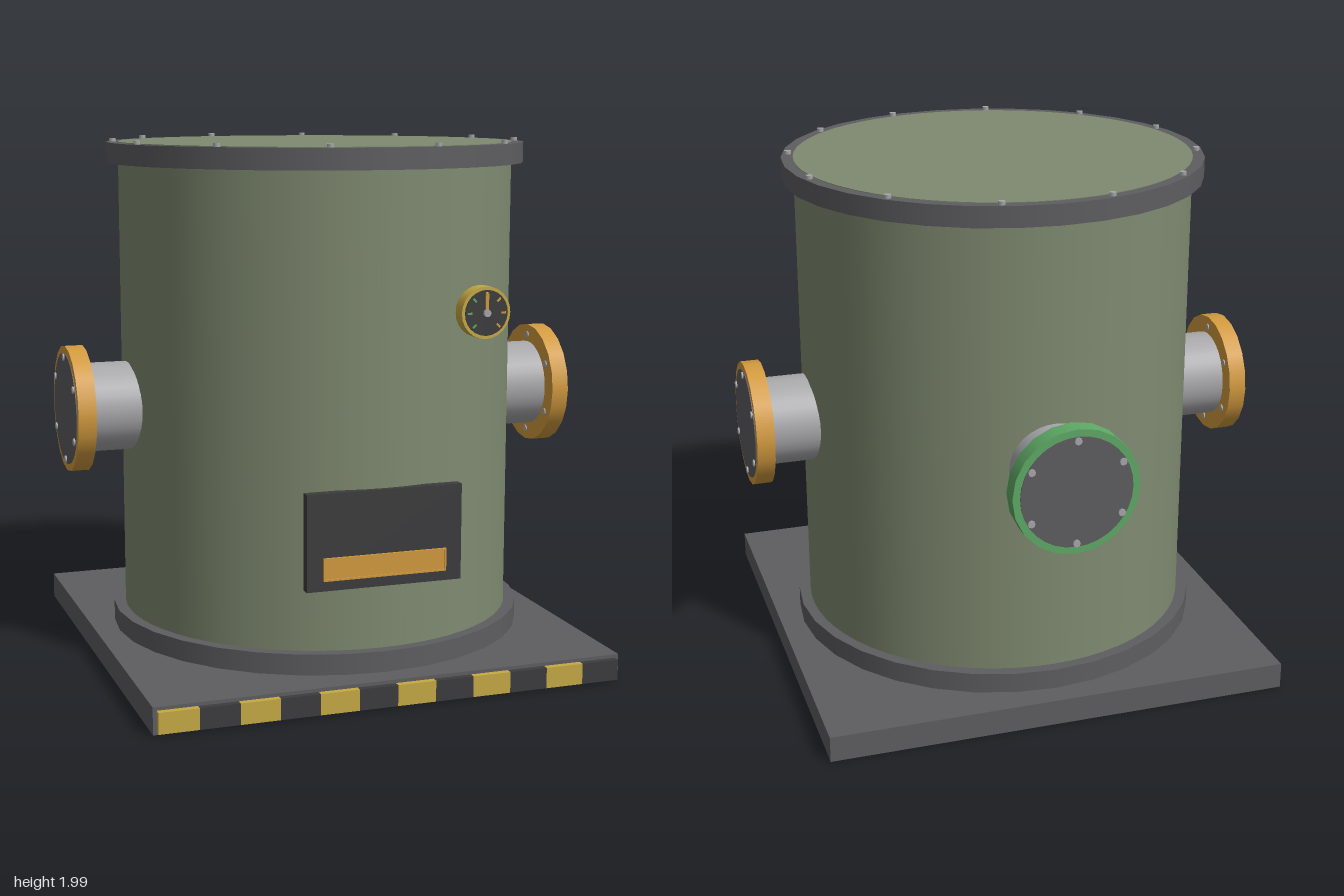
import * as THREE from 'three';

const mat = (name, color) => {
  const m = new THREE.MeshStandardMaterial({ color });
  m.name = name;
  return m;
};

export function createModel() {
  const sage = mat('sage green paint', 0x7f8a70);
  const iron = mat('iron grey', 0x5e5e61);
  const dark = mat('charcoal', 0x3c3c3e);
  const orange = mat('orange paint', 0xd29a3e);
  const yellow = mat('warning yellow', 0xc6aa45);
  const steel = mat('light steel', 0xa8a8ab);
  const green = mat('port green', 0x5fa966);

  const model = new THREE.Group();
  model.name = 'storageTank';
  const CZ = 0.04; // tank axis

  const add = (parent, name, geo, material, x = 0, y = 0, z = 0) => {
    const mesh = new THREE.Mesh(geo, material);
    mesh.name = name;
    mesh.position.set(x, y, z);
    parent.add(mesh);
    return mesh;
  };
  const box = (w, h, d) => new THREE.BoxGeometry(w, h, d);
  const cyl = (r, h, n) => new THREE.CylinderGeometry(r, r, h, n);
  const cylX = (r, h, n) => cyl(r, h, n).rotateZ(-Math.PI / 2);
  const cylZ = (r, h, n) => cyl(r, h, n).rotateX(Math.PI / 2);

  // Base plate with hazard stripes along its front edge
  add(model, 'basePlate', box(1.78, 0.1, 1.78), iron, 0, 0.05, CZ);
  for (let i = 0; i < 12; i++) {
    add(model, 'hazardStripe', box(0.146, 0.078, 0.024), i % 2 ? dark : yellow,
      -0.803 + i * 0.146, 0.048, 0.942);
  }

  // Tank shell between two rims
  add(model, 'tankBody', cyl(0.755, 1.879, 64), sage, 0, 1.0395, CZ);
  add(model, 'bottomRim', cyl(0.8, 0.08, 32), iron, 0, 0.138, CZ);
  add(model, 'topRim', cyl(0.8, 0.077, 32), iron, 0, 1.9385, CZ);
  for (let i = 0; i < 12; i++) {
    const a = (i + 0.5) * Math.PI / 6;
    add(model, 'rimBolt', cyl(0.013, 0.03, 8), steel,
      0.775 * Math.cos(a), 1.975, CZ + 0.775 * Math.sin(a));
  }

  // Pipe stub with a bolted, capped flange, pointing along +x
  const port = (name, flangeMaterial, turn) => {
    const g = new THREE.Group();
    g.name = name;
    g.position.set(0, 0.988, CZ);
    g.rotation.y = turn;
    add(g, 'pipe', cylX(0.168, 0.28, 32), steel, 0.8, 0, 0);
    add(g, 'flange', cylX(0.238, 0.068, 20), flangeMaterial, 0.957, 0, 0);
    add(g, 'flangeCap', cylX(0.21, 0.008, 32), iron, 0.99, 0, 0);
    for (let i = 0; i < 6; i++) {
      const a = Math.PI / 2 + i * Math.PI / 3;
      add(g, 'flangeBolt', cylX(0.014, 0.082, 8), steel,
        0.959, 0.195 * Math.sin(a), 0.195 * Math.cos(a));
    }
    model.add(g);
  };
  port('leftPort', orange, 0);
  port('rightPort', orange, Math.PI);
  port('backPort', green, Math.PI / 2);

  // Pressure gauge
  const gauge = new THREE.Group();
  gauge.name = 'gauge';
  gauge.position.set(0.393, 1.383, 0.79);
  add(gauge, 'gaugeCase', cylZ(0.095, 0.058, 24), yellow, 0, 0, -0.03);
  add(gauge, 'gaugeDial', cylZ(0.083, 0.006, 24), dark, 0, 0, 0);
  for (let i = 0; i < 7; i++) {
    const a = (225 - i * 45) * Math.PI / 180;
    const tickMaterial = i < 3 ? green : i < 5 ? yellow : orange;
    add(gauge, 'gaugeTick', box(0.018, 0.007, 0.004), tickMaterial,
      0.066 * Math.cos(a), 0.066 * Math.sin(a), 0.004).rotation.z = a;
  }
  add(gauge, 'gaugeNeedle', box(0.012, 0.07, 0.005), orange, 0, 0.035, 0.007);
  add(gauge, 'gaugeHub', cylZ(0.014, 0.012, 12), steel, 0, 0, 0.008);
  model.add(gauge);

  // Control hatch with a framed orange label plate
  add(model, 'hatchPanel', box(0.592, 0.355, 0.038), dark, 0, 0.592, 0.796);
  add(model, 'hatchPlate', box(0.47, 0.084, 0.006), orange, 0, 0.494, 0.817);
  for (const s of [-1, 1]) {
    add(model, 'plateFrameRail', box(0.47, 0.007, 0.009), orange, 0, 0.494 + s * 0.0385, 0.8195);
    add(model, 'plateFrameSide', box(0.007, 0.07, 0.009), orange, s * 0.2315, 0.494, 0.8195);
  }

  return model;
}
